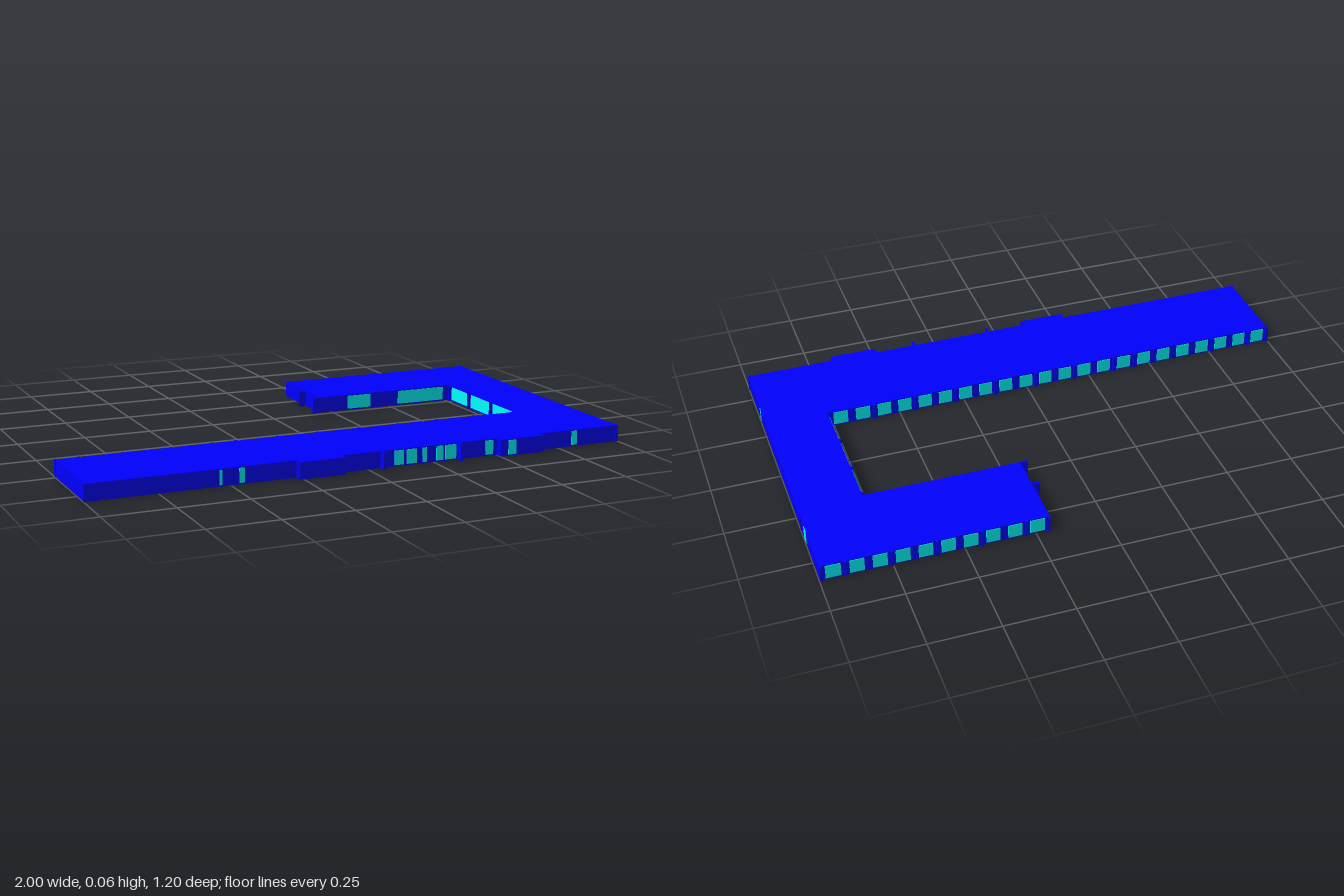
import * as THREE from 'three';

const H = 0.06;
const blue = new THREE.MeshStandardMaterial({ color: 0x0000ff });
const cyan = new THREE.MeshStandardMaterial({ color: 0x00ffff });

export function createModel() {
  const model = new THREE.Group();

  const box = (parent, name, mat, x0, x1, z0, z1, y0 = 0, y1 = H) => {
    const mesh = new THREE.Mesh(new THREE.BoxGeometry(x1 - x0, y1 - y0, z1 - z0), mat);
    mesh.position.set((x0 + x1) / 2, (y0 + y1) / 2, (z0 + z1) / 2);
    mesh.name = name;
    parent.add(mesh);
  };
  const group = (name) => {
    const g = new THREE.Group();
    g.name = name;
    model.add(g);
    return g;
  };

  // J-shaped storey, drawn in plan (shape y = -z)
  const plan = [[-0.997, 0.572], [0.997, 0.572], [0.997, -0.594], [0.2, -0.594],
    [0.2, -0.275], [0.77, -0.275], [0.77, 0.24], [-0.997, 0.24]];
  const shape = new THREE.Shape(plan.map(([x, z]) => new THREE.Vector2(x, -z)));
  const geo = new THREE.ExtrudeGeometry(shape, { depth: H, bevelEnabled: false });
  geo.rotateX(-Math.PI / 2);
  const storey = new THREE.Mesh(geo, blue);
  storey.name = 'storey';
  model.add(storey);

  // Projecting bays on the front
  const bays = group('frontBays');
  box(bays, 'bay', blue, -0.265, -0.095, 0.565, 0.6);
  box(bays, 'bay', blue, 0.5, 0.675, 0.565, 0.6);

  // Thin wall fins along the facades
  const fins = group('fins');
  const T = 0.004;
  const rearFins = [0.204, 0.285, 0.44, 0.597, 0.753, 0.91, 0.993];
  const courtFins = [-0.995, -0.915, -0.76, -0.435, -0.35, -0.19, -0.035, 0.125, 0.283, 0.44, 0.597];
  for (const x of rearFins) box(fins, 'rearFin', blue, x - T, x + T, -0.603, -0.59);
  for (const x of courtFins) box(fins, 'courtFin', blue, x - T, x + T, 0.229, 0.245);
  for (const x of [0.05, 0.347]) box(fins, 'frontFin', blue, x - T, x + T, 0.57, 0.598);
  for (const z of [-0.405, -0.275]) box(fins, 'endFin', blue, 0.172, 0.205, z - 0.003, z + 0.003);
  for (const z of [-0.262, -0.108, 0.063]) box(fins, 'innerFin', blue, 0.761, 0.775, z - T, z + T);
  for (const [x, z] of [[0.997, -0.32], [0.997, 0.572]]) box(fins, 'sideFin', blue, x - T, 1, z - T, z + T);
  box(fins, 'sideFin', blue, -1, -0.99, 0.566, 0.572);

  // Window panes just proud of the walls
  const windows = group('windows');
  const P = 0.002, Y0 = 0.005, Y1 = 0.056;
  const paneZ = (x0, x1, z) => box(windows, 'window', cyan, x0, x1, z - P, z + P, Y0, Y1);
  const paneX = (z0, z1, x) => box(windows, 'window', cyan, x - P, x + P, z0, z1, Y0, Y1);

  const front = [[-0.54, -0.53], [-0.47, -0.45], [0.1, 0.135], [0.145, 0.185], [0.207, 0.223],
    [0.26, 0.288], [0.295, 0.338], [0.455, 0.485], [0.805, 0.828]];
  for (const [a, b] of front) paneZ(a, b, 0.572);
  paneZ(0.53, 0.562, 0.6);

  // Two panes per gap between fins, on the rear and courtyard walls
  const fill = (xs, z) => {
    for (let i = 0; i < xs.length - 1; i++) {
      const n = Math.max(1, Math.round((xs[i + 1] - xs[i]) / 0.08));
      const w = (xs[i + 1] - xs[i]) / n;
      for (let k = 0; k < n; k++) {
        const c = xs[i] + (k + 0.5) * w;
        paneZ(c - 0.32 * w, c + 0.32 * w, z);
      }
    }
  };
  fill(rearFins, -0.594);
  fill([...courtFins, 0.765], 0.24);

  for (const [a, b] of [[0.32, 0.42], [0.54, 0.74]]) paneZ(a, b, -0.275);
  for (const [a, b] of [[-0.25, -0.12], [-0.095, 0.05], [0.075, 0.22]]) paneX(a, b, 0.77);
  for (const [a, b] of [[-0.4, -0.37], [0.35, 0.358]]) paneX(a, b, 0.997);

  return model;
}
